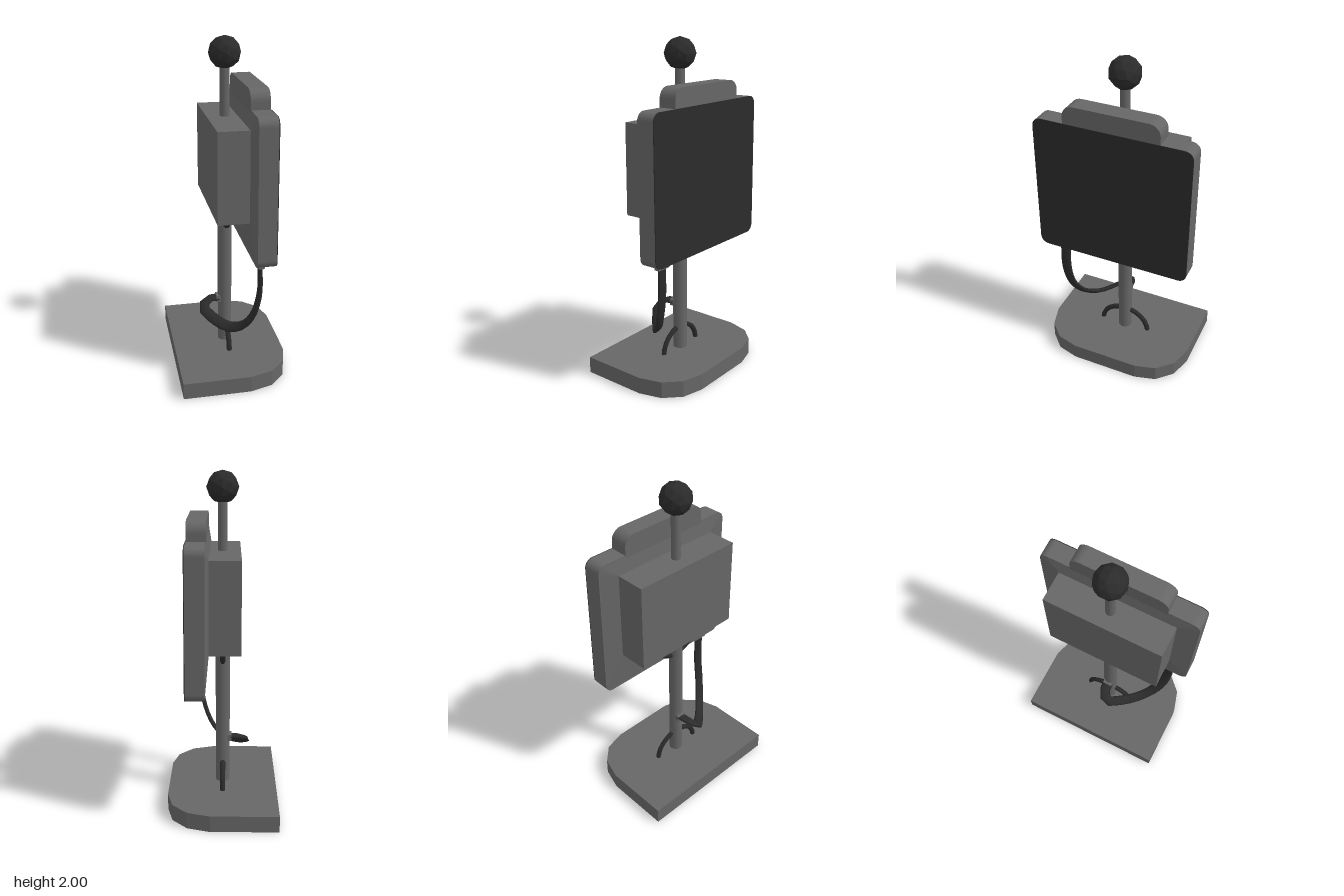
import * as THREE from 'three';
import { ConvexGeometry } from 'three/addons/geometries/ConvexGeometry.js';

const grey = new THREE.MeshStandardMaterial({ color: 0x666666 });
const greyFlat = new THREE.MeshStandardMaterial({ color: 0x666666, flatShading: true });
const dark = new THREE.MeshStandardMaterial({ color: 0x2b2b2b });
const darkFlat = new THREE.MeshStandardMaterial({ color: 0x2b2b2b, flatShading: true });

// Rectangle in (z, y), with separate radii for the bottom and top corners
function roundedRect(halfW, y0, y1, rBottom, rTop) {
  const s = new THREE.Shape();
  s.moveTo(-halfW + rBottom, y0);
  s.lineTo(halfW - rBottom, y0);
  if (rBottom) s.absarc(halfW - rBottom, y0 + rBottom, rBottom, -Math.PI / 2, 0, false);
  s.lineTo(halfW, y1 - rTop);
  s.absarc(halfW - rTop, y1 - rTop, rTop, 0, Math.PI / 2, false);
  s.lineTo(-halfW + rTop, y1);
  s.absarc(-halfW + rTop, y1 - rTop, rTop, Math.PI / 2, Math.PI, false);
  s.lineTo(-halfW, y0 + rBottom);
  if (rBottom) s.absarc(-halfW + rBottom, y0 + rBottom, rBottom, Math.PI, Math.PI * 1.5, false);
  return s;
}

// Slab standing in the zy plane, from x0 to x1
function slab(shape, x0, x1) {
  const g = new THREE.ExtrudeGeometry(shape, { depth: x1 - x0, bevelEnabled: false, curveSegments: 4 });
  return g.rotateY(Math.PI / 2).translate(x0, 0, 0);
}

// Flattened cable: an ellipse swept along a curve, its wide axis starting along z
function flatCable(curve, steps, sides, wide, thin) {
  const pos = [], index = [];
  const b = new THREE.Vector3(0, 0, 1), n = new THREE.Vector3();
  for (let i = 0; i <= steps; i++) {
    const p = curve.getPointAt(i / steps), t = curve.getTangentAt(i / steps);
    b.addScaledVector(t, -b.dot(t)).normalize();
    n.crossVectors(b, t);
    for (let j = 0; j < sides; j++) {
      const a = (j / sides) * Math.PI * 2;
      const v = p.clone().addScaledVector(n, Math.cos(a) * thin).addScaledVector(b, Math.sin(a) * wide);
      pos.push(v.x, v.y, v.z);
      if (i < steps) {
        const k = (j + 1) % sides, r0 = i * sides, r1 = r0 + sides;
        index.push(r0 + j, r1 + k, r1 + j, r0 + j, r0 + k, r1 + k);
      }
    }
  }
  const g = new THREE.BufferGeometry();
  g.setAttribute('position', new THREE.Float32BufferAttribute(pos, 3));
  g.setIndex(index);
  g.computeVertexNormals();
  return g;
}

export function createModel() {
  const model = new THREE.Group();
  model.name = 'screenStand';
  const add = (name, geometry, material, parent = model) => {
    const m = new THREE.Mesh(geometry, material);
    m.name = name;
    parent.add(m);
    return m;
  };
  const pole = (r, y0, y1) =>
    new THREE.CylinderGeometry(r, r, y1 - y0, 12).translate(0, (y0 + y1) / 2, 0);

  // Base plate: straight back edge, faceted round front
  const half = [[0.07, 0.47], [0.205, 0.43], [0.295, 0.34], [0.33, 0.21]];
  const outline = [[-0.33, -0.47], ...half.map(([x, z]) => [x, -z]), ...half.slice().reverse(), [-0.33, 0.47]];
  const baseShape = new THREE.Shape(outline.map(([x, z]) => new THREE.Vector2(x, z)));
  add('base', new THREE.ExtrudeGeometry(baseShape, { depth: 0.1, bevelEnabled: false }).rotateX(-Math.PI / 2), greyFlat);

  // Poles and knob
  add('lowerPole', pole(0.043, 0.08, 1.05), grey);
  add('upperPole', pole(0.028, 1.5, 1.85), grey);
  add('knob', new THREE.IcosahedronGeometry(0.093, 1).translate(0, 1.908, 0), darkFlat);

  // Housing behind the screen
  add('housing', new THREE.BoxGeometry(0.18, 0.53, 0.7).translate(-0.015, 1.285, 0), greyFlat);

  // Screen, leaning back very slightly
  const screen = new THREE.Group();
  screen.name = 'screen';
  const midY = 1.2125;
  screen.position.set(0, midY, 0);
  screen.rotation.z = 0.008;
  model.add(screen);
  const frame = roundedRect(0.47, 0.785 - midY, 1.64 - midY, 0.05, 0.05);
  add('screenFrame', slab(frame, 0.093, 0.2), greyFlat, screen);
  add('screenFace', slab(frame, 0.2, 0.204), darkFlat, screen);
  add('topTab', slab(roundedRect(0.285, 1.62 - midY, 1.75 - midY, 0, 0.065), 0.091, 0.2), greyFlat, screen);

  // Shallow taper joining the screen to the housing
  const taper = frame.getPoints(4).map((p) => new THREE.Vector3(0.094, p.y, p.x));
  for (const y of [1.02, 1.55])
    for (const z of [-0.35, 0.35]) taper.push(new THREE.Vector3(0.076, y - midY, z));
  add('screenBack', new ConvexGeometry(taper), greyFlat, screen);

  // Cable arches: one on the base, one hanging from the housing
  for (const [name, y, dir] of [['baseArch', 0.09, 1], ['housingArch', 1.03, -1]]) {
    const pts = [];
    for (let i = 0; i <= 8; i++) {
      const a = (i / 8) * Math.PI;
      pts.push(new THREE.Vector3(0, y + dir * Math.sin(a) * 0.145, Math.cos(a) * 0.16));
    }
    add(name, new THREE.TubeGeometry(new THREE.CatmullRomCurve3(pts), 12, 0.016, 6), dark);
  }

  // Flat cable from the underside of the screen round to the pole
  const path = [
    [0.14, 0.76, 0.34], [0.14, 0.57, 0.34], [0.105, 0.42, 0.32], [0.05, 0.33, 0.27], [-0.02, 0.293, 0.2],
    [-0.09, 0.31, 0.12], [-0.14, 0.35, 0.05], [-0.11, 0.385, 0.01], [-0.04, 0.39, 0],
  ].map((p) => new THREE.Vector3(...p));
  add('cable', flatCable(new THREE.CatmullRomCurve3(path), 18, 8, 0.034, 0.014), dark);
  add('screenPlug', new THREE.BoxGeometry(0.034, 0.05, 0.09).translate(0.14, 0.775, 0.34), greyFlat);
  add('polePlug', new THREE.BoxGeometry(0.03, 0.04, 0.06).translate(-0.04, 0.39, 0), greyFlat);

  return model;
}
